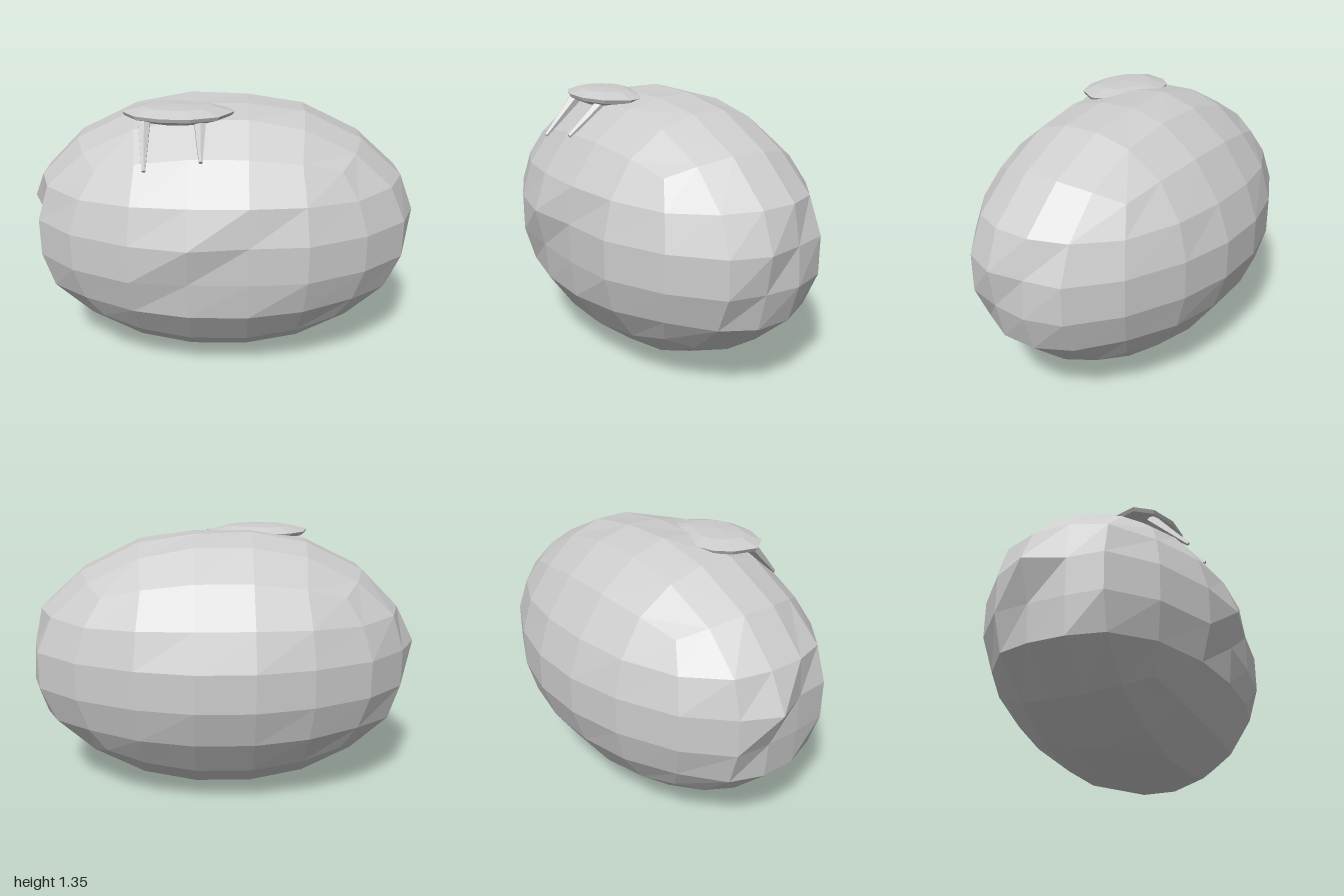
import * as THREE from 'three';

const grey = new THREE.MeshStandardMaterial({ color: 0xcccccc, flatShading: true, side: THREE.DoubleSide });
grey.name = 'plain grey';

const SCALE = [1, 0.662, 0.632], CENTRE_Y = 0.678;

// Uneven vertices near the six poles: [signs of x, y, z, axis, final coordinate]
const BUMPS = [
  [-1, 1, -1, 0, -1.0], [-1, 1, 1, 0, -0.92], [-1, -1, -1, 0, -0.92], [-1, -1, 1, 0, -0.92],
  [1, 1, 1, 0, 1.0], [1, -1, -1, 0, 0.985], [1, 1, -1, 0, 0.97], [1, -1, 1, 0, 0.97],
  [-1, 1, -1, 1, 1.345], [1, 1, -1, 1, 1.335], [-1, 1, 1, 1, 1.33], [1, 1, 1, 1, 1.33],
  [-1, -1, -1, 1, 0.0], [1, -1, -1, 1, 0.035], [-1, -1, 1, 1, 0.035], [1, -1, 1, 1, 0.035],
  [-1, 1, 1, 2, 0.65], [1, 1, 1, 2, 0.61], [-1, -1, 1, 2, 0.605], [1, -1, 1, 2, 0.61],
  [-1, 1, -1, 2, -0.65], [1, 1, -1, 2, -0.65], [-1, -1, -1, 2, -0.65], [1, -1, -1, 2, -0.65],
];

// Spread of the grid lines on each cube face: inner, middle, border
const spread = (c) => Math.sign(c) * [0.143, 0.455, 1][Math.round((Math.abs(c) - 0.2) / 0.4)];
const widen = (b, a) => b * (1 + 0.38 * a * a * (1 - b * b));

// Rounded body: a cube of 5 x 5 faces per side, blown up to an ellipsoid
function bodyGeometry() {
  const g = new THREE.BoxGeometry(2, 2, 2, 5, 5, 5);
  const pos = g.attributes.position;
  for (let i = 0; i < pos.count; i++) {
    const cube = new THREE.Vector3().fromBufferAttribute(pos, i).toArray();
    const axis = cube.findIndex((c) => Math.abs(c) > 0.99);
    const u = (axis + 1) % 3, w = (axis + 2) % 3;
    const t = cube.map(spread), d = [...t];
    d[u] = widen(t[u], t[w]);
    d[w] = widen(t[w], t[u]);
    const border = Math.max(Math.abs(cube[u]), Math.abs(cube[w]));
    const v = new THREE.Vector3(...d).setLength(border > 0.5 && border < 0.7 ? 1.03 : 1.02);
    v.multiply(new THREE.Vector3(...SCALE));
    v.y += CENTRE_Y;
    // Flattened right end
    v.x = Math.max(v.x, -0.905);
    if (border < 0.3) {
      const bump = BUMPS.find((b) => b[3] === axis && cube.every((c, k) => Math.sign(c) === b[k]));
      v.setComponent(axis, bump[4]);
    }
    pos.setXYZ(i, v.x, v.y, v.z);
  }
  g.computeVertexNormals();
  return g;
}

// Thin lens-shaped cap with an uneven outline, given as x, z pairs
function capGeometry() {
  const outline = [[-0.465, 0.22], [-0.4, 0.31], [-0.27, 0.365], [-0.13, 0.37], [0, 0.32], [0.075, 0.21],
    [0.05, 0.13], [0, 0.085], [-0.1, 0.05], [-0.19, 0.02], [-0.26, 0.005], [-0.36, 0.03], [-0.43, 0.1]];
  const rings = [[0, 1.27], [0.65, 1.275], [0.96, 1.3], [1, 1.318], [0.62, 1.343], [0, 1.35]];
  const pos = [], index = [], n = outline.length;
  for (const [s, y] of rings)
    for (const [x, z] of outline) pos.push(-0.2 + (x + 0.2) * s, y, 0.2 + (z - 0.2) * s);
  for (let r = 0; r < rings.length - 1; r++) for (let i = 0; i < n; i++) {
    const a = r * n + i, b = r * n + (i + 1) % n;
    if (r > 0) index.push(a, b, b + n);
    if (r < rings.length - 2) index.push(a, b + n, a + n);
  }
  const g = new THREE.BufferGeometry();
  g.setAttribute('position', new THREE.Float32BufferAttribute(pos, 3));
  g.setIndex(index);
  g.computeVertexNormals();
  return g;
}

// Tapered prong between two points
function prong(from, to) {
  const a = new THREE.Vector3(...from), b = new THREE.Vector3(...to);
  const dir = b.clone().sub(a);
  const mesh = new THREE.Mesh(new THREE.CylinderGeometry(0.01, 0.034, dir.length(), 6), grey);
  mesh.position.copy(a).add(b).multiplyScalar(0.5);
  mesh.quaternion.setFromUnitVectors(new THREE.Vector3(0, 1, 0), dir.normalize());
  return mesh;
}

export function createModel() {
  const model = new THREE.Group();
  model.name = 'roundBody';
  const add = (name, mesh) => { mesh.name = name; model.add(mesh); };
  add('body', new THREE.Mesh(bodyGeometry(), grey));
  add('cap', new THREE.Mesh(capGeometry(), grey));
  add('rightProng', prong([-0.355, 1.29, 0.275], [-0.345, 1.1, 0.47]));
  add('leftProng', prong([-0.09, 1.29, 0.275], [-0.08, 1.145, 0.475]));
  return model;
}
